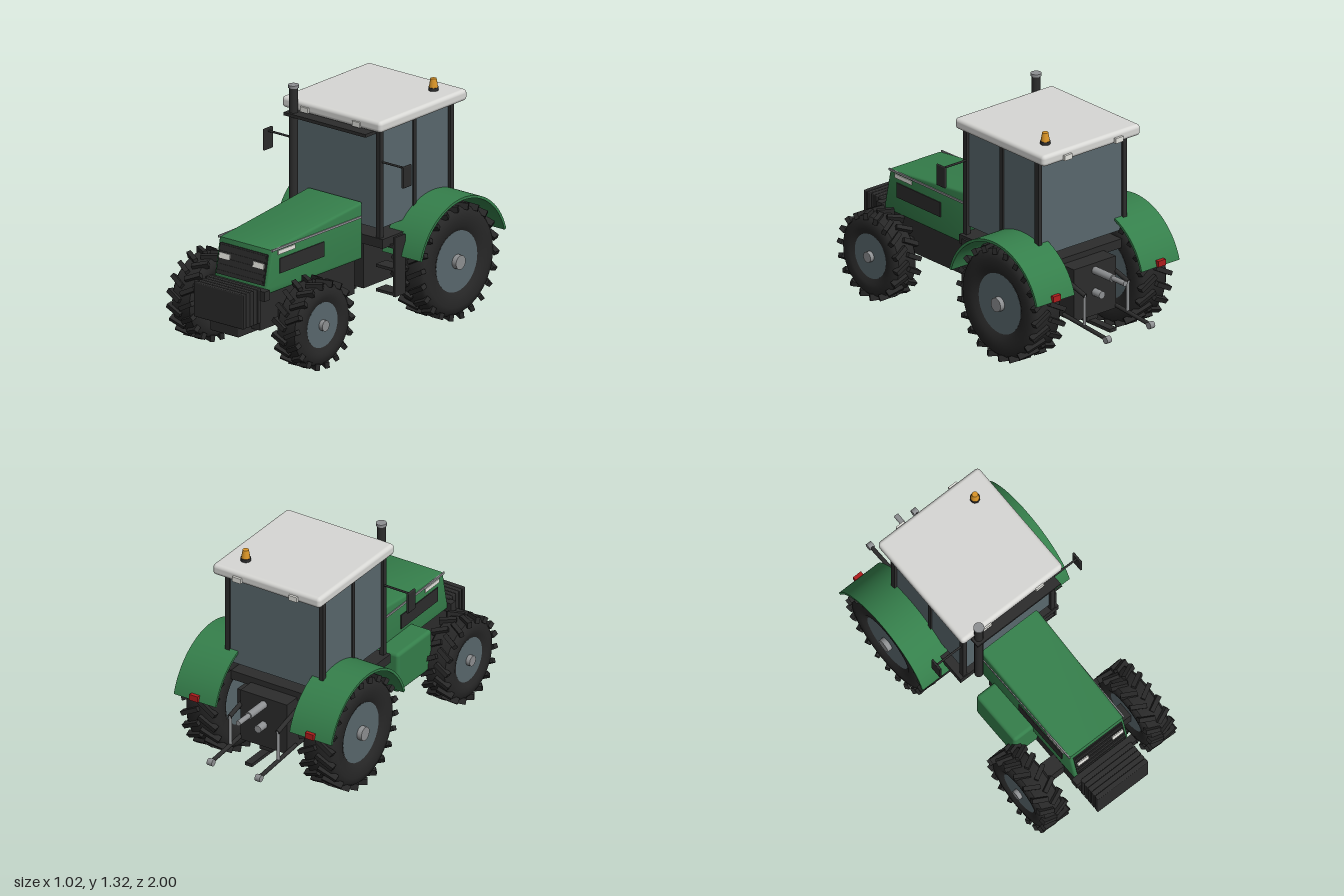
import * as THREE from 'three';
import { mergeGeometries, toCreasedNormals } from 'three/addons/utils/BufferGeometryUtils.js';
import { RoundedBoxGeometry } from 'three/addons/geometries/RoundedBoxGeometry.js';

const mat = (name, color) => Object.assign(new THREE.MeshStandardMaterial({ color }), { name });
const M = {
  green: mat('green paint', 0x357f4b),
  frame: mat('dark frame', 0x2c2c2c),
  tire: mat('rubber', 0x272727),
  slate: mat('slate glass and rims', 0x59686d),
  roof: mat('roof white', 0xd8d8d5),
  lamp: mat('lamp white', 0xe4e4de),
  metal: mat('grey metal', 0x8e9092),
  amber: mat('amber', 0xdc9628),
  red: mat('red', 0xb01c1c),
};

export function createModel() {
  const root = new THREE.Group();
  root.name = 'tractor';

  const add = (name, geo, material, parent = root) => {
    const m = new THREE.Mesh(geo, material);
    m.name = name;
    parent.add(m);
    return m;
  };
  // Box given by its limits on each axis, optionally rounded
  const box = (name, material, [x0, x1], [y0, y1], [z0, z1], r = 0) => {
    const s = [x1 - x0, y1 - y0, z1 - z0];
    const m = add(name, r ? new RoundedBoxGeometry(...s, 3, r) : new THREE.BoxGeometry(...s), material);
    m.position.set((x0 + x1) / 2, (y0 + y1) / 2, (z0 + z1) / 2);
    return m;
  };
  // The same box on the left and right
  const pair = (name, material, [x0, x1], y, z, r = 0) => {
    box(name + 'Left', material, [x0, x1], y, z, r);
    box(name + 'Right', material, [-x1, -x0], y, z, r);
  };
  // Round bar between two points
  const rod = (name, material, a, b, r) => {
    const p = new THREE.Vector3(...a), q = new THREE.Vector3(...b);
    const m = add(name, new THREE.CylinderGeometry(r, r, p.distanceTo(q), 16), material);
    m.position.copy(p).add(q).multiplyScalar(0.5);
    m.quaternion.setFromUnitVectors(new THREE.Vector3(0, 1, 0), q.sub(p).normalize());
    return m;
  };
  // Side profile of [z, y] points, extruded across x
  const sideExtrude = (shape, width, bevel = 0) => {
    const g = new THREE.ExtrudeGeometry(shape, {
      depth: width - 2 * bevel, bevelEnabled: bevel > 0, bevelSize: bevel,
      bevelThickness: bevel, bevelOffset: -bevel, bevelSegments: 3, curveSegments: 32,
    });
    g.translate(0, 0, bevel - width / 2).rotateY(-Math.PI / 2);
    return g;
  };

  // Wheels: tyre, chevron lugs, rim and hub
  const wheel = (name, side, x, y, z, R, width, rim, hub, lugs) => {
    const g = new THREE.Group();
    g.name = name;
    g.position.set(side * x, y, z);
    root.add(g);
    const w = width / 2 - 0.008, t = R - 0.022;
    const profile = [[rim, -w * 0.8], [rim + 0.03, -w * 0.97], [t - 0.05, -w], [t - 0.015, -w * 0.93],
      [t, -w * 0.75], [t, w * 0.75], [t - 0.015, w * 0.93], [t - 0.05, w], [rim + 0.03, w * 0.97], [rim, w * 0.8]];
    const tyre = new THREE.LatheGeometry(profile.map(p => new THREE.Vector2(...p)), 48);
    add('tyre', toCreasedNormals(tyre.rotateZ(-Math.PI / 2), 0.7), M.tire, g);
    const bars = [];
    for (let i = 0; i < lugs; i++) {
      for (const s of [-1, 1]) {
        const b = new THREE.BoxGeometry(width * 0.54, 0.036, 0.026);
        b.rotateY(s * 0.5).translate(s * width * 0.25, R - 0.02, 0);
        bars.push(b.rotateX((i + (s > 0 ? 0.5 : 0)) * 2 * Math.PI / lugs));
      }
    }
    add('lugs', mergeGeometries(bars), M.tire, g);
    const disc = (n, r, len, m, dx) =>
      add(n, new THREE.CylinderGeometry(r, r, len, 32).rotateZ(Math.PI / 2).translate(dx, 0, 0), m, g);
    disc('rim', rim + 0.003, w * 1.64, M.slate, 0);
    disc('hub', hub, width / 2 + 0.005, M.metal, side * (width / 4));
  };
  for (const s of [-1, 1]) {
    const n = s > 0 ? 'Left' : 'Right';
    wheel('rearWheel' + n, s, 0.38, 0.33, -0.45, 0.328, 0.22, 0.17, 0.04, 22);
    wheel('frontWheel' + n, s, 0.37, 0.252, 0.645, 0.25, 0.175, 0.125, 0.03, 18);

    // Fender arching over the rear wheel, with its tail light
    const arc = new THREE.Shape();
    const a0 = 0.28, a1 = Math.PI - 0.28;
    arc.absarc(-0.45, 0.33, 0.375, a0, a1, false);
    arc.absarc(-0.45, 0.33, 0.36, a1, a0, true);
    add('fender' + n, toCreasedNormals(sideExtrude(arc, 0.27), 0.5), M.green).position.x = s * 0.375;
  }
  pair('tailLight', M.red, [0.348, 0.402], [0.435, 0.47], [-0.822, -0.8]);

  // Chassis
  box('engineBlock', M.frame, [-0.16, 0.16], [0.21, 0.42], [0.045, 0.84]);
  box('transmission', M.frame, [-0.15, 0.15], [0.215, 0.52], [-0.7, -0.04]);
  box('frontAxle', M.frame, [-0.32, 0.32], [0.21, 0.3], [0.6, 0.69]);
  box('rearAxle', M.frame, [-0.32, 0.32], [0.27, 0.39], [-0.51, -0.39]);

  // Hood, narrowing slightly to the front
  const hoodShape = new THREE.Shape([[0.02, 0.41], [0.815, 0.41], [0.815, 0.45], [0.772, 0.655], [0.02, 0.732]]
    .map(p => new THREE.Vector2(...p)));
  const hoodGeo = sideExtrude(hoodShape, 0.392, 0.016);
  const hp = hoodGeo.attributes.position;
  for (let i = 0; i < hp.count; i++) hp.setX(i, hp.getX(i) * (1 - 0.06 * hp.getZ(i)));
  add('hood', toCreasedNormals(hoodGeo, 0.6), M.green);

  // Sloped grille with slats and headlights
  const grille = new THREE.Group();
  grille.name = 'grille';
  grille.position.set(0, 0.545, 0.798);
  grille.rotation.x = -0.207;
  root.add(grille);
  const plate = (name, m, w, h, x, y, z) =>
    add(name, new THREE.BoxGeometry(w, h, 0.008), m, grille).position.set(x, y, z);
  plate('grillePanel', M.frame, 0.335, 0.172, 0, 0, 0);
  for (let i = 0; i < 5; i++) plate('grilleSlat', M.frame, 0.32, 0.014, 0, -0.07 + i * 0.035, 0.004);
  for (const s of [-1, 1]) plate('headlight', M.lamp, 0.075, 0.03, s * 0.12, 0.018, 0.01);

  // Hood side vents, trim strips and lamps, following the taper
  for (const s of [-1, 1]) {
    const panel = (name, m, y0, y1, z0, z1) => {
      const zc = (z0 + z1) / 2;
      const p = box(name, m, [-0.004, 0.004], [y0, y1], [z0, z1]);
      p.position.x = s * (0.196 * (1 - 0.06 * zc) + 0.001);
      p.rotation.y = -s * 0.0118;
    };
    panel('sideVent', M.frame, 0.51, 0.595, 0.345, 0.71);
    panel('sideLamp', M.lamp, 0.62, 0.643, 0.585, 0.725);
    panel('trimStrip', M.metal, 0.648, 0.66, 0.035, 0.775);
  }

  // Front weights and their carrier
  box('weightBracket', M.frame, [-0.207, 0.207], [0.39, 0.445], [0.815, 0.86]);
  box('weightCore', M.frame, [-0.15, 0.15], [0.28, 0.44], [0.83, 0.98]);
  for (let i = 0; i < 5; i++) {
    const z = 0.85 + i * 0.0305;
    box('weightPlate', M.frame, [-0.175, 0.175], [0.26, 0.457], [z, z + 0.028], 0.005);
  }
  box('weightCarrier', M.frame, [-0.1, 0.1], [0.185, 0.265], [0.7, 0.95], 0.006);

  // Fuel tank on the right side
  box('fuelTank', M.green, [-0.32, -0.15], [0.25, 0.49], [0.13, 0.465], 0.02);

  // Cab: floor, glass, pillars, roof and visor
  box('cabFloor', M.frame, [-0.34, 0.34], [0.5, 0.553], [-0.6, 0.025]);
  box('cabGlass', M.slate, [-0.3, 0.3], [0.6, 1.15], [-0.588, 0.004]);
  for (const z of [0.005, -0.585]) pair('pillar', M.frame, [0.29, 0.318], [0.55, 1.17], [z - 0.015, z + 0.015]);
  pair('middlePillar', M.frame, [0.285, 0.308], [0.55, 1.17], [-0.296, -0.272]);
  box('roof', M.roof, [-0.35, 0.35], [1.165, 1.23], [-0.68, 0.055], 0.022);
  box('visor', M.frame, [-0.288, 0.288], [1.146, 1.164], [0, 0.108]);
  pair('roofLampFront', M.lamp, [0.155, 0.209], [1.172, 1.202], [0.03, 0.064]);
  pair('roofLampRear', M.lamp, [0.155, 0.209], [1.172, 1.202], [-0.694, -0.66]);

  // Warning beacon
  rod('beaconBase', M.frame, [0.22, 1.225, -0.545], [0.22, 1.248, -0.545], 0.028);
  add('beacon', new THREE.CylinderGeometry(0.017, 0.025, 0.05, 16), M.amber).position.set(0.22, 1.272, -0.545);

  // Exhaust stack
  rod('exhaust', M.frame, [-0.25, 0.605, 0.07], [-0.25, 1.306, 0.07], 0.025);
  rod('exhaustCap', M.metal, [-0.25, 1.304, 0.07], [-0.25, 1.32, 0.07], 0.03);

  // Mirrors
  for (const s of [-1, 1]) rod('mirrorArm', M.frame, [s * 0.3, 0.985, 0], [s * 0.487, 0.985, 0], 0.006);
  pair('mirror', M.frame, [0.482, 0.495], [0.88, 1.003], [-0.036, 0.038], 0.005);

  // Entry steps on the left
  box('stepPlate', M.frame, [0.362, 0.376], [0.215, 0.555], [-0.122, -0.037]);
  for (const y of [0.22, 0.36]) box('stepTread', M.frame, [0.24, 0.37], [y, y + 0.016], [-0.122, -0.037]);
  box('stepMount', M.frame, [0.14, 0.37], [0.49, 0.51], [-0.122, -0.037]);

  // Rear linkage, drawbar and power take-off
  for (const s of [-1, 1]) {
    const x = s * 0.155;
    rod('lowerLink', M.frame, [x, 0.236, -0.62], [x, 0.203, -0.98], 0.012);
    rod('linkBall', M.metal, [x - 0.016, 0.202, -0.98], [x + 0.016, 0.202, -0.98], 0.02);
    rod('liftRod', M.metal, [x, 0.22, -0.793], [x, 0.405, -0.793], 0.009);
    rod('liftArm', M.frame, [x, 0.45, -0.62], [x, 0.4, -0.8], 0.013);
  }
  rod('topLink', M.metal, [0, 0.477, -0.66], [0, 0.477, -0.85], 0.022);
  rod('topLinkEnd', M.metal, [0, 0.477, -0.84], [0, 0.477, -0.95], 0.015);
  rod('powerTakeOff', M.metal, [0, 0.35, -0.69], [0, 0.35, -0.76], 0.022);
  box('drawbar', M.frame, [-0.023, 0.023], [0.165, 0.184], [-0.85, -0.5]);
  box('drawbarMount', M.frame, [-0.04, 0.04], [0.18, 0.22], [-0.68, -0.5]);

  return root;
}
